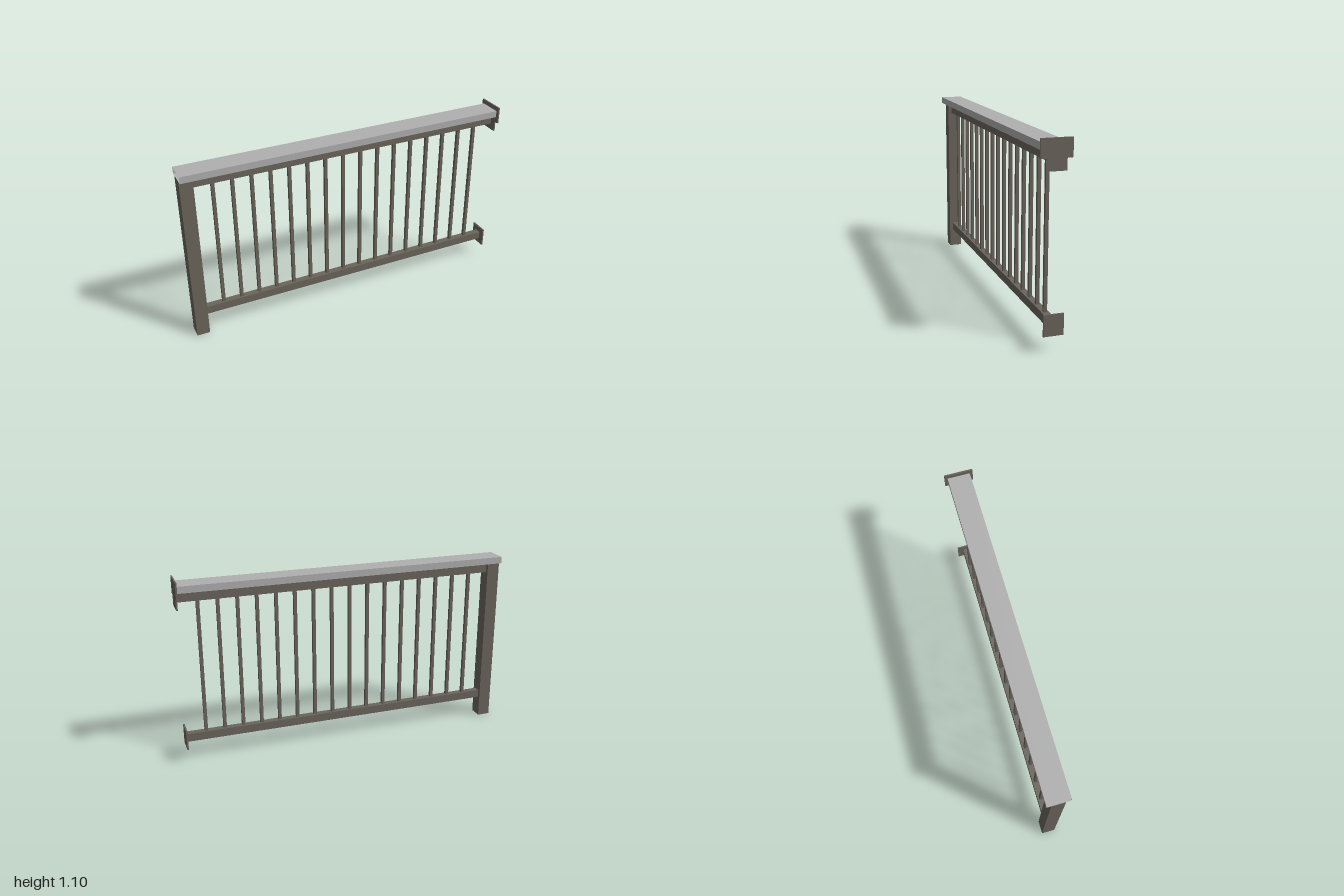
import * as THREE from 'three';

const bronze = new THREE.MeshStandardMaterial({ color: 0x6b655c, side: THREE.DoubleSide });
bronze.name = 'bronze metal';
const grey = new THREE.MeshStandardMaterial({ color: 0xb0b0b0, side: THREE.DoubleSide });
grey.name = 'light grey';

export function createModel() {
  const model = new THREE.Group();
  model.name = 'railing';

  const add = (name, geometry, material) => {
    const mesh = new THREE.Mesh(geometry, material);
    mesh.name = name;
    model.add(mesh);
    return mesh;
  };

  // Solid bar given by its x and y limits and its depth, centred on z = 0
  const bar = (name, x0, x1, y0, y1, depth) =>
    add(name, new THREE.BoxGeometry(x1 - x0, y1 - y0, depth), bronze)
      .position.set((x0 + x1) / 2, (y0 + y1) / 2, 0);

  // Square-section tube along y, open at both ends
  const openTube = (width, length, depth) => {
    const r = Math.SQRT1_2;
    const g = new THREE.CylinderGeometry(r, r, 1, 4, 1, true)
      .rotateY(Math.PI / 4).scale(width, length, depth).toNonIndexed();
    g.computeVertexNormals();
    return g;
  };

  // End post and the hollow handrail resting on it
  add('post', openTube(0.077, 1.035, 0.08), bronze).position.set(-0.9615, 0.5175, 0);
  add('handrail', openTube(0.04, 1.99, 0.135).rotateZ(Math.PI / 2), grey).position.set(-0.005, 1.055, 0);

  // Horizontal rails, with a thin cover strip on the upper one
  bar('bottomRail', -0.923, 0.992, 0.122, 0.171, 0.04);
  bar('topRail', -0.923, 0.992, 0.973, 1.017, 0.04);
  bar('railCover', -0.923, 0.992, 1.017, 1.022, 0.04);

  // Wall mounting plates
  bar('bottomRailPlate', 0.991, 1, 0.088, 0.205, 0.11);
  bar('topRailPlate', 0.991, 1, 0.937, 1.054, 0.11);
  bar('handrailPlate', 0.991, 1, 1.0, 1.1, 0.17);

  // Evenly spaced balusters
  for (let i = 0; i < 16; i++) {
    const x = -0.81 + i * 0.1123;
    bar('baluster', x - 0.0095, x + 0.0095, 0.171, 0.973, 0.019);
  }

  return model;
}
